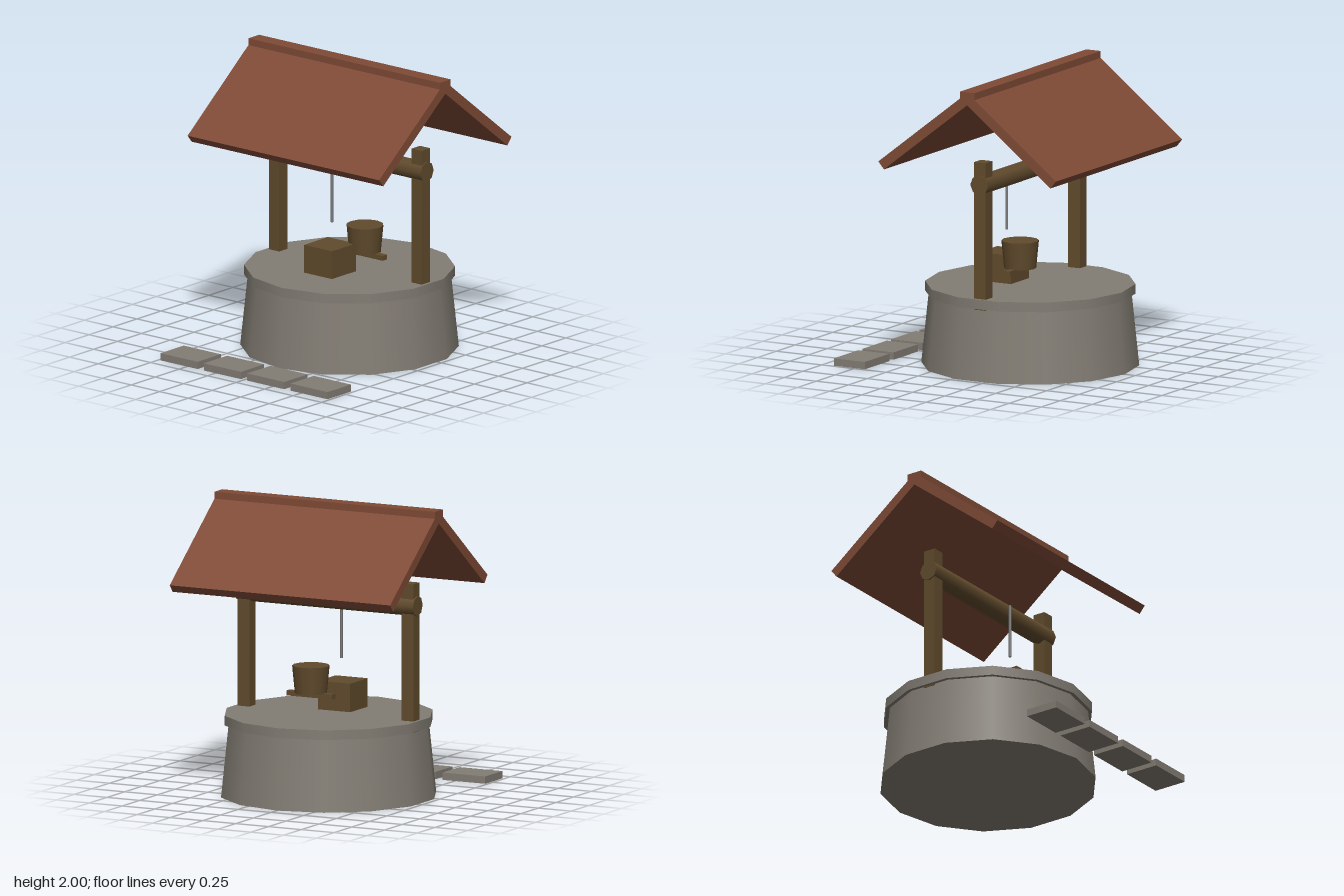
import * as THREE from 'three';

const mat = (name, color) => Object.assign(new THREE.MeshStandardMaterial({ color }), { name });

export function createModel() {
  const stone = mat('stone', 0x827c73);
  const wood = mat('wood', 0x604a2c);
  const tile = mat('roof tile', 0x7e4a35);
  const metal = mat('rope grey', 0x7c7c7c);

  const model = new THREE.Group();
  model.name = 'well';
  const Z = -0.183; // depth of the well's axis

  const add = (name, geometry, material, x, y, z) => {
    const mesh = new THREE.Mesh(geometry, material);
    mesh.name = name;
    mesh.position.set(x, y, z);
    model.add(mesh);
    return mesh;
  };
  const box = (name, material, size, x, y, z) =>
    add(name, new THREE.BoxGeometry(...size), material, x, y, z);
  const cylinder = (name, material, rTop, rBottom, height, sides, x, y, z) =>
    add(name, new THREE.CylinderGeometry(rTop, rBottom, height, sides), material, x, y, z);

  // Tapered stone wall and its flat cap
  cylinder('wall', stone, 0.682, 0.734, 0.5, 14, 0, 0.25, Z);
  cylinder('cap', stone, 0.709, 0.709, 0.066, 14, 0, 0.523, Z);

  // Posts and the roller between them
  for (const side of [-1, 1]) {
    box(side > 0 ? 'leftPost' : 'rightPost', wood, [0.09, 1.01, 0.09], side * 0.625, 0.985, Z);
  }
  const roller = cylinder('roller', wood, 0.069, 0.069, 1.36, 8, 0, 1.336, Z);
  roller.rotation.z = Math.PI / 2;

  // Hanging rope
  cylinder('rope', metal, 0.009, 0.009, 0.38, 8, 0, 1.09, 0);

  // Crate, and bucket on a short plank
  box('crate', wood, [0.244, 0.244, 0.248], 0, 0.628, 0.021);
  cylinder('bucket', wood, 0.126, 0.108, 0.188, 12, 0.135, 0.774, Z);
  box('plank', wood, [0.35, 0.034, 0.045], 0.135, 0.668, Z);

  // Roof slopes: one half-section, extruded along x and turned for the back
  const section = new THREE.Shape([
    [0, 1.912], [0.647, 1.408], [0.69, 1.459], [0, 1.996],
  ].map(([x, y]) => new THREE.Vector2(x, y)));
  const slope = new THREE.ExtrudeGeometry(section, { depth: 1.68, bevelEnabled: false });
  slope.translate(0, 0, -0.84).rotateY(-Math.PI / 2);
  add('frontSlope', slope, tile, 0, 0, Z);
  add('backSlope', slope, tile, 0, 0, Z).rotation.y = Math.PI;
  box('ridge', tile, [1.68, 0.07, 0.112], 0, 1.965, Z);

  // Row of stepping stones
  for (let i = 0; i < 4; i++) {
    box('steppingStone' + (i + 1), stone, [0.325, 0.05, 0.242], (i - 1.5) * 0.38, 0.025, 0.796);
  }
  return model;
}
